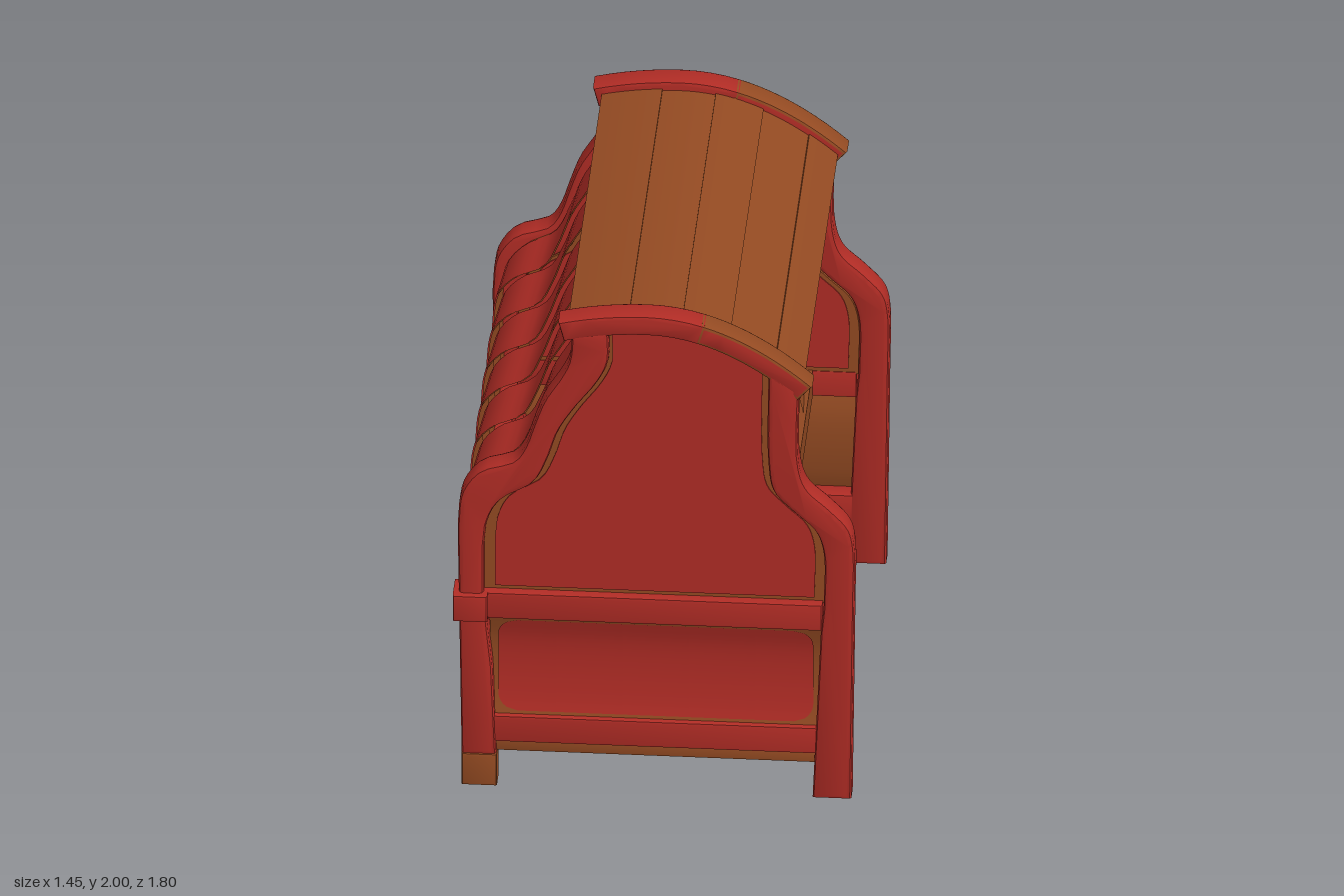
import * as THREE from 'three';
import { toCreasedNormals } from 'three/addons/utils/BufferGeometryUtils.js';

const mat = (name, color) => new THREE.MeshStandardMaterial({ name, color, side: THREE.DoubleSide });

export function createModel() {
  const model = new THREE.Group();
  const red = mat('red paint', 0xb02c25);
  const brown = mat('worn brown wood', 0x934a22);

  const add = (name, geometry, material, parent = model) => {
    const mesh = new THREE.Mesh(geometry, material);
    mesh.name = name;
    parent.add(mesh);
    return mesh;
  };

  // Outline in x/y given thickness between z0 and z1, with softened edges
  const slab = (name, pts, z0, z1, material, bevel = 0) => {
    const shape = new THREE.Shape(pts.map(p => new THREE.Vector2(p[0], p[1])));
    const geo = new THREE.ExtrudeGeometry(shape, {
      depth: Math.abs(z1 - z0) - 2 * bevel, bevelEnabled: bevel > 0,
      bevelSize: bevel, bevelThickness: bevel, bevelOffset: -bevel, bevelSegments: 2,
    });
    geo.translate(0, 0, Math.min(z0, z1) + bevel);
    return add(name, toCreasedNormals(geo, 0.6), material);
  };
  const box = (name, x0, x1, y0, y1, z0, z1, material, bevel = 0.012) =>
    slab(name, [[x0, y0], [x1, y0], [x1, y1], [x0, y1]], z0, z1, material, bevel);

  const smooth = (pts, n = 28) =>
    new THREE.CatmullRomCurve3(pts.map(p => new THREE.Vector3(p[0], p[1], 0)), false, 'centripetal')
      .getPoints(n).map(p => [p.x, p.y]);

  // Plank wall: a profile swept along z, brown boards with a rounded red painted field
  const wall = (name, profile, dir, half, planks, { tilt = 0, slant = 0, mz = 0.05, my = 0.05, r = 0.1 } = {}) => {
    const group = new THREE.Group();
    group.name = name;
    model.add(group);
    const curve = new THREE.CatmullRomCurve3(profile.map(p => new THREE.Vector3(p[0], p[1], 0)));
    const len = curve.getLength();
    for (let i = 0; i < planks; i++) {
      for (const painted of [false, true]) {
        const geo = new THREE.PlaneGeometry(1, 1, 4, 32);
        const pos = geo.attributes.position;
        for (let k = 0; k < pos.count; k++) {
          const u = pos.getX(k) + 0.5;
          let v = pos.getY(k) + 0.5, limit = half;
          if (painted) {
            v = my / len + v * (1 - 2 * my / len);
            const edge = Math.min(v, 1 - v) * len - my;
            const d = Math.max(0, r - edge);
            limit = half - mz - r + Math.sqrt(Math.max(0, r * r - d * d));
          }
          const p = curve.getPointAt(v);
          let z = (-half + 2 * half * (i + u) / planks);
          z = THREE.MathUtils.clamp(z + slant * (v - 0.5), -limit, limit);
          const start = -half + 2 * half * i / planks + slant * (v - 0.5);
          const t = THREE.MathUtils.clamp((z - start) * planks / (2 * half), 0, 1);
          pos.setXYZ(k, p.x + dir * ((painted ? 0.005 : 0) + tilt * t), p.y, z);
        }
        if (dir > 0) { // keep faces pointing outwards
          const ix = geo.index.array;
          for (let k = 0; k < ix.length; k += 3) [ix[k], ix[k + 1]] = [ix[k + 1], ix[k]];
        }
        geo.computeVertexNormals();
        add(painted ? 'paintedField' : 'plank', geo, painted ? red : brown, group);
      }
    }
    return group;
  };

  // Curved corner posts
  const leftOuter = smooth([[-0.71, 0.8], [-0.71, 1.17], [-0.69, 1.25], [-0.63, 1.325], [-0.51, 1.37], [-0.47, 1.43],
    [-0.44, 1.52], [-0.4, 1.63], [-0.34, 1.73], [-0.31, 1.8], [-0.3, 1.91]]);
  const leftInner = smooth([[-0.17, 1.93], [-0.17, 1.8], [-0.21, 1.71], [-0.29, 1.6], [-0.35, 1.5], [-0.39, 1.38],
    [-0.44, 1.28], [-0.56, 1.2], [-0.61, 1.1], [-0.62, 0.8]]);
  const rightOuter = smooth([[0.72, 0.8], [0.72, 1.06], [0.7, 1.14], [0.63, 1.22], [0.55, 1.3], [0.52, 1.4], [0.52, 1.72]]);
  const rightInner = smooth([[0.41, 1.79], [0.41, 1.4], [0.43, 1.28], [0.5, 1.2], [0.58, 1.12], [0.61, 1.03], [0.61, 0.8]]);

  // Roof arch and a curved strip that follows it
  const arch = x => 2 - (x > -0.03 ? 0.75 : 0.4) * (x + 0.03) ** 2;
  const strip = (x0, x1, drop, thick) => {
    const top = [], under = [];
    for (let i = 0; i <= 10; i++) {
      const x = x0 + (x1 - x0) * i / 10;
      const slope = (arch(x + 0.001) - arch(x - 0.001)) / 0.002;
      const n = Math.hypot(slope, 1), nx = -slope / n, ny = 1 / n;
      top.push([x - nx * drop, arch(x) - ny * drop]);
      under.unshift([x - nx * (drop + thick), arch(x) - ny * (drop + thick)]);
    }
    return [...top, ...under];
  };

  // Gable panel outline and its inset painted field
  const gable = [...leftInner, ...[...rightInner].reverse(), [0.25, 1.87], [0.1, 1.92], [-0.05, 1.94]];
  const inset = gable.map(([x, y]) => [0.02 + (x - 0.02) * 0.94, 1.34 + (y - 1.34) * 0.955]);

  for (const s of [1, -1]) {
    slab('leftCurvedPost', [[-0.7, 0.13], ...leftOuter, ...leftInner, [-0.59, 0.5], [-0.575, 0.13]], s * 0.775, s * 0.875, red, 0.018);
    box('foot', -0.7, -0.572, 0, 0.135, s * 0.775, s * 0.875, brown);
    slab('rightCurvedPost', [[0.71, 0], ...rightOuter, ...rightInner, [0.6, 0.7], [0.57, 0]], s * 0.775, s * 0.875, red, 0.018);

    slab('gablePanel', gable, s * 0.78, s * 0.83, brown);
    slab('gablePaintedField', inset, s * 0.775, s * 0.835, red);

    const lower = wall('lowerGablePanel', [[0.845, 0.27], [0.825, 0.35], [0.812, 0.48], [0.818, 0.6], [0.85, 0.72]], 1, 0.6, 5,
      { mz: 0.03, my: 0.035, r: 0.07 });
    lower.rotation.y = -s * Math.PI / 2;

    box('gableMiddleRail', -0.65, 0.605, 0.7, 0.81, s * 0.775, s * 0.868, red);
    box('cornerBlock', -0.73, -0.605, 0.7, 0.81, s * 0.77, s * 0.9, red);
    box('gableBottomRail', -0.59, 0.59, 0.18, 0.29, s * 0.775, s * 0.862, red);
    box('gableBottomEdge', -0.59, 0.59, 0.13, 0.185, s * 0.775, s * 0.84, brown);

    slab('roofTrim', strip(-0.35, 0.18, 0, 0.08), s * 0.775, s * 0.875, red, 0.012);
    slab('roofTrimWornEnd', strip(0.17, 0.57, 0, 0.08), s * 0.775, s * 0.875, [red, brown], 0.012);
  }

  // Roof planks
  const seams = [-0.325, -0.1, 0.1, 0.28, 0.45, 0.555];
  for (let i = 0; i < seams.length - 1; i++)
    slab('roofPlank', strip(seams[i], seams[i + 1], 0.028 + 0.006 * (i % 2), 0.045), -0.79, 0.79, brown);

  // Sloping left-hand wall, following the curved posts
  wall('slopingWall', [[-0.665, 0.79], [-0.67, 1.1], [-0.65, 1.22], [-0.585, 1.3], [-0.48, 1.36], [-0.43, 1.46],
    [-0.38, 1.6], [-0.32, 1.71], [-0.28, 1.8], [-0.27, 1.92]], -1, 0.785, 6, { tilt: 0.022, slant: 0.14, mz: 0.02, my: 0.03 });
  wall('slopingWallBase', [[-0.665, 0.3], [-0.635, 0.42], [-0.63, 0.55], [-0.66, 0.72]], -1, 0.785, 6, { tilt: 0.012, mz: 0.04 });
  box('sideMiddleRail', -0.705, -0.61, 0.7, 0.81, -0.79, 0.79, red);
  box('sideBottomRail', -0.695, -0.6, 0.2, 0.33, -0.79, 0.79, red);

  // Recessed right-hand wall
  wall('recessedWall', [[0.44, 1.76], [0.4, 1.55], [0.375, 1.25], [0.38, 0.98], [0.42, 0.79]].reverse(), 1, 0.785, 5,
    { tilt: 0.02, my: 0.08, r: 0.12 });
  wall('recessedWallBase', [[0.385, 0.3], [0.36, 0.4], [0.355, 0.55], [0.4, 0.72]], 1, 0.785, 5, { tilt: 0.015, my: 0.04 });
  box('recessedMiddleRail', 0.34, 0.445, 0.7, 0.81, -0.79, 0.79, brown);
  box('recessedBottomRail', 0.32, 0.41, 0.2, 0.33, -0.79, 0.79, red);

  // Floor with painted underside
  box('floor', -0.64, 0.39, 0.2, 0.24, -0.79, 0.79, brown, 0);
  box('floorPaintedUnderside', -0.58, 0.34, 0.194, 0.2, -0.74, 0.74, red, 0);

  return model;
}
